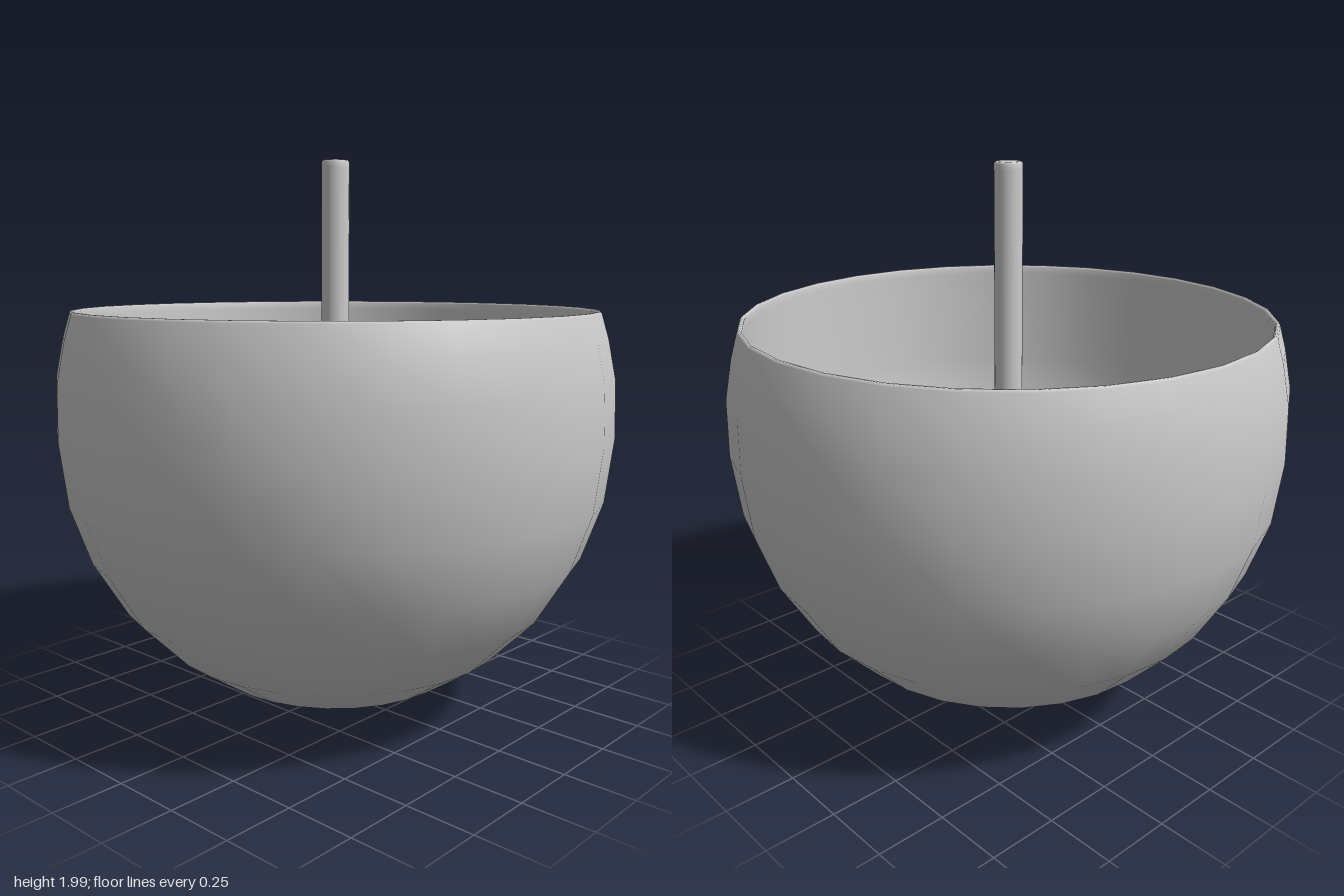
import * as THREE from 'three';

const material = new THREE.MeshStandardMaterial({ color: 0xcccccc });

// Revolve a profile into a smooth surface
function lathe(name, profile, segments) {
  const points = profile.map(([r, y]) => new THREE.Vector2(r, y));
  const mesh = new THREE.Mesh(new THREE.LatheGeometry(points, segments), material);
  mesh.name = name;
  return mesh;
}

export function createModel() {
  const model = new THREE.Group();
  model.name = 'bowlWithRod';

  // Outside of the bowl, from the base up to the rim
  const outside = [
    [0, 0], [0.01, 0.001], [0.27, 0.055], [0.44, 0.12], [0.62, 0.24], [0.782, 0.405],
    [0.9, 0.6], [0.972, 0.805], [1, 1.03], [0.995, 1.23], [0.967, 1.37], [0.942, 1.455],
  ];

  // Narrow rim, then a straight inner wall down to the widest level
  const innerRadius = 0.925, wallBottom = 1.05, floorY = 0.07;
  const rim = [[0.937, 1.463], [0.93, 1.463], [innerRadius, 1.455], [innerRadius, 1.43]];

  // Rounded floor below the straight wall
  const floor = [];
  const steps = 12;
  for (let i = 0; i < steps; i++) {
    const angle = (i / steps) * Math.PI / 2;
    floor.push([
      innerRadius * Math.cos(angle),
      wallBottom - (wallBottom - floorY) * Math.sin(angle),
    ]);
  }
  floor.push([0.01, floorY], [0, floorY]);
  model.add(lathe('bowl', [...outside, ...rim, ...floor], 28));

  // Upright centre rod with a slightly eased top edge
  model.add(lathe('rod', [
    [0.05, 0.06], [0.05, 1.96], [0.05, 1.98], [0.046, 1.986], [0.04, 1.987], [0, 1.987],
  ], 28));

  return model;
}
